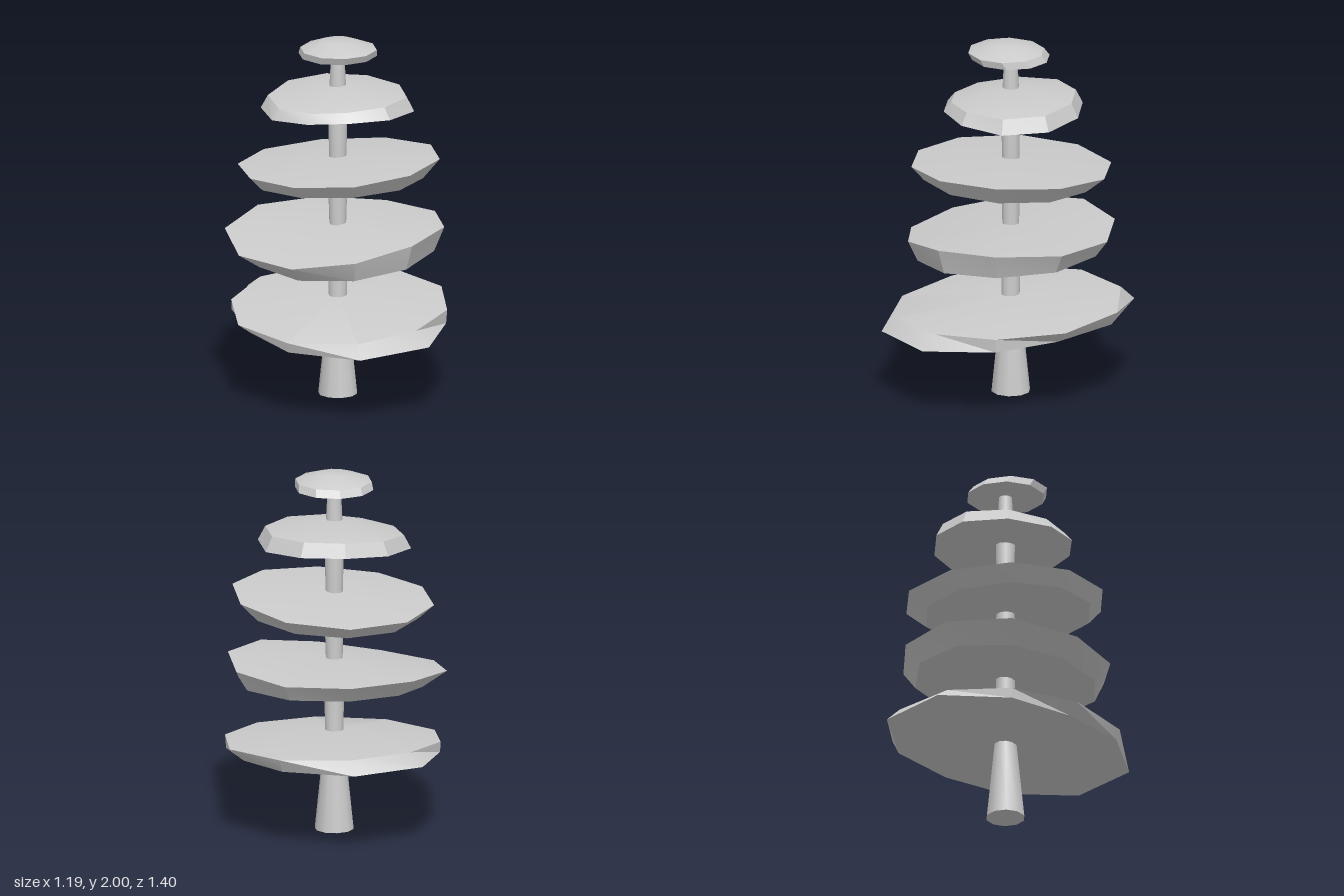
import * as THREE from 'three';
import { toCreasedNormals } from 'three/addons/utils/BufferGeometryUtils.js';

const SIDES = 10;
const material = new THREE.MeshStandardMaterial({ color: 0xcccccc });

// Value around a ring: mean, lean to front and left, then a twofold warp.
const wave = ([mean, front = 0, left = 0, oval = 0, twist = 0], a) =>
  mean + front * Math.cos(a) + left * Math.sin(a) + oval * Math.cos(2 * a) + twist * Math.sin(2 * a);

// Closed shell: top point, rings { r, y, z offset } from top to bottom, bottom point.
function shell(name, top, rings, bottom, crease) {
  const pos = [0, top, 0];
  const index = [];
  for (const { r, y, z = 0 } of rings) {
    for (let k = 0; k < SIDES; k++) {
      const a = (k / SIDES) * Math.PI * 2;
      const radius = wave(r, a);
      pos.push(Math.sin(a) * radius, wave(y, a), Math.cos(a) * radius + z);
    }
  }
  const last = pos.length / 3;
  pos.push(0, bottom, 0);
  for (let k = 0; k < SIDES; k++) {
    const n = (k + 1) % SIDES;
    index.push(0, 1 + k, 1 + n);
    for (let i = 0; i < rings.length - 1; i++) {
      const u = 1 + i * SIDES, l = u + SIDES;
      index.push(u + k, l + k, l + n, u + k, l + n, u + n);
    }
    const b = last - SIDES;
    index.push(last, b + n, b + k);
  }
  const geo = new THREE.BufferGeometry();
  geo.setAttribute('position', new THREE.Float32BufferAttribute(pos, 3));
  geo.setIndex(index);
  const mesh = new THREE.Mesh(toCreasedNormals(geo, crease), material);
  mesh.name = name;
  return mesh;
}

export function createModel() {
  const model = new THREE.Group();
  model.name = 'tieredTree';
  const tier = (name, top, bottom, ...rings) => model.add(shell(name, top, rings, bottom, 0.5));

  // Foliage tiers: upper rim, then lower rim
  tier('lowestTier', 0.56, 0.43,
    { r: [0.613, -0.007, 0.008, 0.006, -0.027], y: [0.501, -0.048, 0.01, 0.002, 0.006] },
    { r: [0.626, 0, 0.004, 0.074, 0.037], y: [0.434, -0.046, 0, 0, 0.004] });
  tier('lowTier', 0.965, 0.82,
    { r: [0.589, -0.019, -0.015, -0.016], y: [0.921, -0.025, 0.038, -0.002, 0.026] },
    { r: [0.506, -0.005, 0.022], y: [0.815, -0.035, 0.019, 0, 0.009] });
  tier('middleTier', 1.345, 1.215,
    { r: [0.554, -0.018, 0.009], y: [1.305, 0.025, 0.03, -0.008, 0.003] },
    { r: [0.465], y: [1.218, 0.023, 0.013] });
  tier('highTier', 1.75, 1.63,
    { r: [0.362, -0.016, 0.003, -0.017, 0.009], y: [1.683, -0.012, 0.014, 0.008, 0.003], z: -0.015 },
    { r: [0.402, -0.014, 0.003, -0.017, 0.009], y: [1.614, 0, 0.007, 0.014], z: -0.015 });

  // Small domed cap
  tier('crownCap', 2, 1.915,
    { r: [0.09], y: [1.997] },
    { r: [0.21], y: [1.955], z: 0.01 },
    { r: [0.215], y: [1.915], z: -0.015 });

  // Trunk: flared foot, then a slim stem that narrows above each tier
  const profile = [[1.93, 0.036], [1.75, 0.045], [1.64, 0.054], [1.36, 0.048], [1.18, 0.053],
    [0.96, 0.046], [0.78, 0.055], [0.55, 0.05], [0.4, 0.066], [0, 0.107]];
  const rings = profile.map(([y, r]) => ({ r: [r], y: [y], z: -0.015 }));
  model.add(shell('trunk', 1.93, rings, 0, 0.8));

  return model;
}
